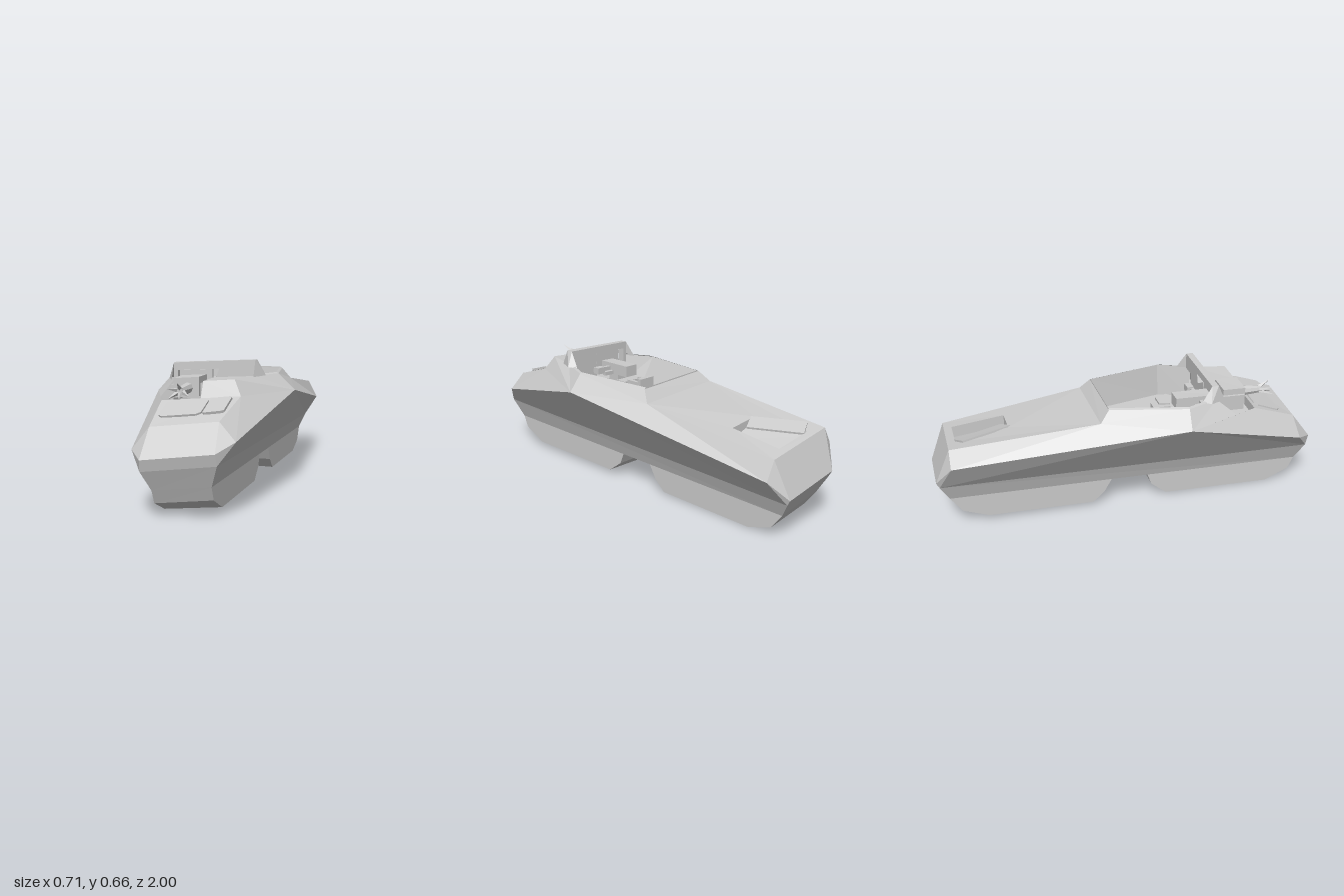
import * as THREE from 'three';

const grey = new THREE.MeshStandardMaterial({ color: 0xcccccc, flatShading: true, side: THREE.DoubleSide });
const flip = ([x, y, z]) => [-x, y, z];

// One mesh from a list of polygons, each fanned into triangles
function panels(name, polygons) {
  const pos = [];
  for (const p of polygons)
    for (let i = 1; i < p.length - 1; i++) pos.push(...p[0], ...p[i], ...p[i + 1]);
  const g = new THREE.BufferGeometry();
  g.setAttribute('position', new THREE.Float32BufferAttribute(pos, 3));
  return part(name, g);
}

function part(name, geometry) {
  const m = new THREE.Mesh(geometry, grey);
  m.name = name;
  return m;
}

function box(name, w, h, d, x, y, z, rx = 0, ry = 0, rz = 0) {
  const m = part(name, new THREE.BoxGeometry(w, h, d));
  m.position.set(x, y, z);
  m.rotation.set(rx, ry, rz);
  return m;
}

// Polygons plus their mirror images
const both = (polys) => [...polys, ...polys.map((p) => p.map(flip).reverse())];
// Polygon spanning the hull from an edge to its mirror image
const across = (a, b) => [a, b, flip(b), flip(a)];

export function createModel() {
  const model = new THREE.Group();
  model.name = 'armouredHovercraft';

  // Hull corner points on the +x side
  const N0 = [0.17, 0.29, 1], E0 = [0.174, 0.236, 0.985], C0 = [0.137, 0.14, 0.94];
  const R0 = [0.238, 0.325, 0.915], R1 = [0.355, 0.492, 0.26], R2 = [0.25, 0.35, -0.925];
  const H0 = [0.16, 0.417, 0.9], H1 = [0.19, 0.5, 0.66], F = [0.15, 0.575, 0.62];
  const K0 = [0.205, 0.575, -0.13], K1 = [0.275, 0.575, 0.27], K2 = [0.2, 0.575, 0.44];
  const D0 = [0.2, 0.44, -0.925], D1 = [0.24, 0.52, -0.18];
  const B0 = [0.17, 0.25, -1], E1 = [0.168, 0.222, -0.985], C1 = [0.137, 0.14, -0.94];

  model.add(panels('hullSides', both([
    [R0, H0, N0], [R0, N0, E0],
    [R0, E0, R1], [R1, E0, E1], [R1, E1, R2], [E0, C0, C1, E1],
    [R2, E1, B0], [R2, B0, D0],
    [R0, R1, H1], [R0, H1, H0],
    [R1, K1, K2], [R1, D1, K1], [K1, D1, K0], [R1, R2, D1], [D1, R2, D0],
  ])));
  model.add(panels('noseAndTail', [
    across(H0, N0), across(N0, E0), across(E0, C0), across(D0, B0), across(B0, E1), across(E1, C1),
    across(K0, D1), across(H1, H0),
  ]));

  // Raised cowl on one side, open gun notch on the other
  const L = [-0.24, 0.5, 0.54], M2 = flip(K2), J = flip(H1);
  model.add(panels('cowl', [
    [R1, K2, F], [R1, F, H1],
    [K2, F, [0, 0.575, 0.62], [0, 0.575, 0.44]],
    [H1, F, [0, 0.575, 0.62], [0, 0.5, 0.66]],
  ]));
  model.add(panels('gunNotch', [
    [flip(R1), M2, L], [flip(R1), L, J],
    [[0, 0.575, 0.44], [0, 0.575, 0.62], [0, 0.5, 0.66], [0, 0.45, 0.66], [0, 0.45, 0.44]],
    [M2, L, [-0.2, 0.45, 0.5], [-0.18, 0.45, 0.44]],
    [L, J, [-0.18, 0.45, 0.64], [-0.2, 0.45, 0.5]],
    [[-0.18, 0.45, 0.44], [-0.2, 0.45, 0.5], [-0.18, 0.45, 0.66], [0, 0.45, 0.66], [0, 0.45, 0.44]],
    [J, [0, 0.5, 0.66], [0, 0.45, 0.66], [-0.18, 0.45, 0.66]],
  ]));

  // Open-bottomed front and rear skirts, given as z, y profiles
  const skirts = [
    [[0.94, 0.14], [0.91, 0.076], [0.78, 0.016], [0.2, 0.018], [0.12, 0.08], [0.095, 0.14]],
    [[-0.1, 0.14], [-0.14, 0.07], [-0.2, 0.015], [-0.75, 0.014], [-0.88, 0.06], [-0.94, 0.14]],
  ];
  skirts.forEach((profile, i) => {
    const p = profile.map(([z, y]) => [0.137, y, z]);
    const ends = [0, 1, 3, 4].map((k) => across(p[k], p[k + 1]));
    model.add(panels(i ? 'rearSkirt' : 'frontSkirt', [...both([p]), ...ends]));
  });
  model.add(panels('bellyBridge', [across([0.137, 0.14, 0.095], [0.137, 0.14, -0.1])]));

  // Crew tub: upright on the +x side, sloping wall on the gun side
  const floorY = 0.4, rimR = [K0, K1, K2], rimL = rimR.map(flip);
  const floorR = [[0.19, floorY, -0.12], [0.262, floorY, 0.27], [0.19, floorY, 0.43]];
  const floorL = [[-0.165, floorY, -0.12], [-0.165, floorY, 0.27], [-0.165, floorY, 0.43]];
  model.add(panels('crewTub', [
    ...[0, 1].flatMap((i) => [
      [rimR[i], floorR[i], floorR[i + 1], rimR[i + 1]],
      [rimL[i], floorL[i], floorL[i + 1], rimL[i + 1]],
      [floorR[i], floorR[i + 1], floorL[i + 1], floorL[i]],
    ]),
    [K0, flip(K0), floorL[0], floorR[0]],
    [floorR[2], floorL[2], [-0.18, 0.45, 0.44], [0.19, 0.45, 0.44]],
    [K2, [0, 0.575, 0.44], [0, 0.45, 0.44], [0.19, 0.45, 0.44]],
  ]));
  // Thin raised lip round the tub
  const lip = ([x, y, z]) => [x - 0.012 * Math.sign(x), y + 0.006, z];
  const rim = [K2, K1, K0, flip(K0), flip(K1), flip(K2)];
  model.add(panels('tubRim', rim.slice(1).map((b, i) => [rim[i], b, lip(b), lip(rim[i])])));

  // Rear deck around a recessed hatch, deeper on the +x side
  const at = (x, z, drop = 0) => [x, 0.52 + (z + 0.18) * 0.1074 - drop, z];
  const hole = [[-0.11, -0.885], [0.11, -0.885], [0.11, -0.615], [-0.06, -0.615]];
  const depth = [0.02, 0.06, 0.06, 0.02];
  const outer = [flip(D0), D0, D1, flip(D1)];
  const deck = [], well = [hole.map(([x, z], i) => at(x, z, depth[i]))];
  for (let i = 0; i < 4; i++) {
    const j = (i + 1) % 4, a = hole[i], b = hole[j];
    deck.push([outer[i], outer[j], at(...b), at(...a)]);
    well.push([at(...a), at(...b), at(...b, depth[j]), at(...a, depth[i])]);
  }
  model.add(panels('rearDeck', deck), panels('hatchWell', well));
  model.add(box('hatchLid', 0.09, 0.01, 0.275, -0.065, 0.458, -0.745, -0.04, 0.43, -0.2));

  // Windscreen: a plate cut away for the gun, with wedge cheeks at both ends
  const v = (pts) => pts.map(([x, y]) => new THREE.Vector2(x, y));
  const frame = new THREE.Shape(v([[-0.203, 0.5], [-0.203, 0.652], [0.203, 0.652], [0.203, 0.57],
    [0.008, 0.57], [0.025, 0.615], [-0.182, 0.615], [-0.182, 0.5]]));
  const screen = part('windscreenFrame', new THREE.ExtrudeGeometry(frame, { depth: 0.035, bevelEnabled: false }));
  screen.position.z = 0.413;
  const topA = [0.203, 0.652, 0.448], topB = [0.203, 0.652, 0.413];
  const foot = [0.203, 0.572, 0.485], side = [0.243, 0.574, 0.4], heel = [0.215, 0.574, 0.36];
  model.add(screen, panels('windscreenCheeks', both([
    [topA, foot, side], [topA, side, topB], [topB, side, heel], [topB, heel, [0.203, 0.574, 0.413]],
  ])));

  // Thin chamfered covers on the hood
  const cover = (name, w, d, c, x, z, lift, roll) => {
    const a = w / 2, b = d / 2;
    const s = new THREE.Shape(v([[-a + c, -b], [a - c, -b], [a, -b + c], [a, b - c],
      [a - c, b], [-a + c, b], [-a, b - c], [-a, -b + c]]));
    const m = part(name, new THREE.ExtrudeGeometry(s, { depth: 0.012, bevelEnabled: false }));
    m.rotation.set(-Math.PI / 2 + 0.33, roll, 0);
    m.position.set(x, 0.417 + (0.9 - z) * 0.346 + lift, z);
    model.add(m);
  };
  cover('hoodCoverLarge', 0.2, 0.155, 0.018, -0.05, 0.75, -0.005, 0);
  cover('hoodCoverSmall', 0.1, 0.15, 0.008, 0.108, 0.75, -0.001, -0.04);

  // Gun: mount, shield, barrel and splayed muzzle prongs
  const gun = new THREE.Group();
  gun.name = 'gun';
  gun.add(
    box('breech', 0.125, 0.09, 0.12, -0.083, 0.55, 0.56),
    box('receiver', 0.08, 0.06, 0.26, -0.083, 0.53, 0.38),
    box('shield', 0.165, 0.1, 0.015, -0.088, 0.565, 0.45),
    box('mountPlate', 0.012, 0.08, 0.16, -0.155, 0.525, 0.53),
    box('mountPlate', 0.012, 0.08, 0.16, -0.01, 0.525, 0.53),
    box('crossbar', 0.25, 0.02, 0.02, -0.06, 0.53, 0.385),
    box('crossbar', 0.2, 0.02, 0.02, -0.08, 0.51, 0.36),
    box('grip', 0.05, 0.035, 0.035, 0.04, 0.53, 0.375),
    box('pedestal', 0.06, 0.13, 0.07, -0.083, 0.455, 0.36),
  );
  const barrel = part('barrel', new THREE.CylinderGeometry(0.018, 0.03, 0.15, 8));
  barrel.rotation.x = Math.PI / 2;
  barrel.position.set(-0.078, 0.545, 0.665);
  gun.add(barrel);
  // Each prong: sideways spread, upward spread, length
  for (const [dx, dy, len] of [[0.01, 0.035, 0.07], [0.05, -0.02, 0.05], [0.02, -0.025, 0.09], [-0.025, -0.02, 0.08], [-0.03, 0.015, 0.06]]) {
    const dir = new THREE.Vector3(dx, dy, len);
    const prong = part('muzzleProng', new THREE.ConeGeometry(0.013, dir.length(), 4));
    prong.quaternion.setFromUnitVectors(new THREE.Vector3(0, 1, 0), dir.clone().normalize());
    prong.position.set(-0.078 + dx * 0.25, 0.545 + dy * 0.25, 0.725).addScaledVector(dir, 0.5);
    gun.add(prong);
  }
  model.add(gun);

  // Gunner's seat and side tray
  const seat = new THREE.Group();
  seat.name = 'gunnerSeat';
  seat.add(
    box('seatBase', 0.1, 0.04, 0.19, -0.09, 0.42, 0.135),
    box('seatBack', 0.1, 0.07, 0.025, -0.09, 0.475, 0.15),
    box('armRest', 0.02, 0.05, 0.08, -0.05, 0.465, 0.2),
    box('armRest', 0.02, 0.05, 0.08, -0.13, 0.465, 0.2),
    box('footBlock', 0.13, 0.08, 0.06, -0.085, 0.44, 0.27),
  );
  const tray = part('sideTray', new THREE.CylinderGeometry(0.062, 0.062, 0.012, 5));
  tray.position.set(0.11, 0.44, 0.27);
  model.add(seat, tray, box('trayArm', 0.1, 0.012, 0.015, 0.03, 0.44, 0.28));

  // Bake transforms, then twist the whole craft gently along its length
  model.updateMatrixWorld(true);
  model.traverse((m) => {
    if (!m.isMesh) return;
    m.geometry.applyMatrix4(m.matrixWorld);
    const p = m.geometry.attributes.position;
    for (let i = 0; i < p.count; i++) p.setY(i, p.getY(i) + 0.125 * p.getX(i) * p.getZ(i));
    m.geometry.computeVertexNormals();
    m.position.set(0, 0, 0);
    m.rotation.set(0, 0, 0);
  });
  return model;
}
